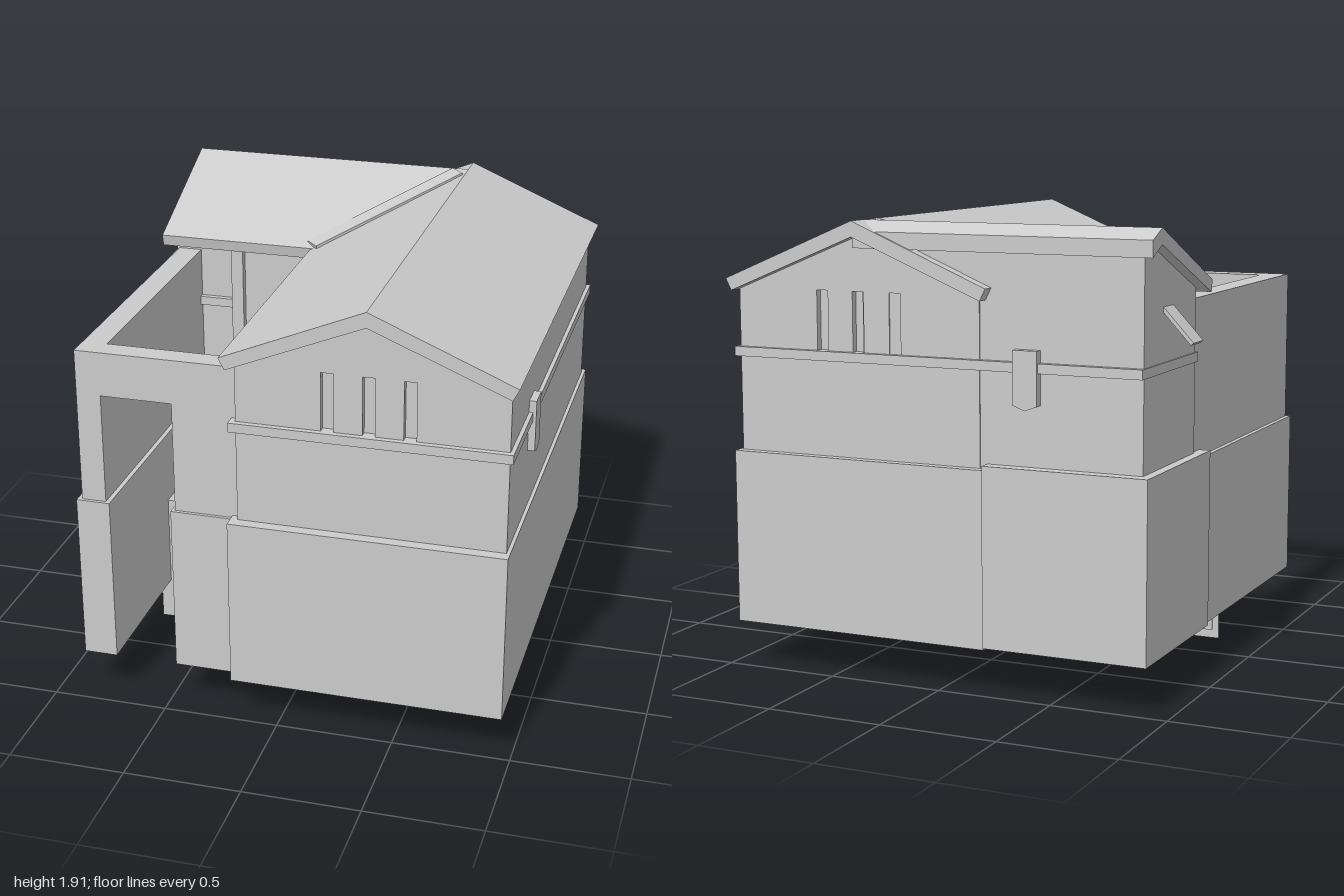
import * as THREE from 'three';

const material = new THREE.MeshStandardMaterial({ color: 0xcccccc, flatShading: true, side: THREE.DoubleSide });
const SLOPE = 0.42, RIDGE_Y = 1.91, RIDGE_X = 0.38, WING_RIDGE_Z = -0.89;

export function createModel() {
  const model = new THREE.Group();
  model.name = 'house';

  const add = (name, geometry, parent = model) => {
    const mesh = new THREE.Mesh(geometry, material);
    mesh.name = name;
    parent.add(mesh);
    return mesh;
  };
  // Box given by its limits on each axis
  const box = (name, x0, x1, y0, y1, z0, z1, parent) => {
    const mesh = add(name, new THREE.BoxGeometry(x1 - x0, y1 - y0, z1 - z0), parent);
    mesh.position.set((x0 + x1) / 2, (y0 + y1) / 2, (z0 + z1) / 2);
    return mesh;
  };
  const shapeOf = (pts) => new THREE.Shape(pts.map(([x, y]) => new THREE.Vector2(x, y)));
  const extrude = (shape, from, to) =>
    new THREE.ExtrudeGeometry(shape, { depth: to - from, bevelEnabled: false }).translate(0, 0, from);
  const part = (name) => {
    const g = new THREE.Group();
    g.name = name;
    model.add(g);
    return g;
  };

  // Roof section: a folded slab with square-cut eaves
  const roofY = (d) => RIDGE_Y - SLOPE * Math.abs(d);
  const roofShape = (a, ridge, b) => shapeOf([
    [a, roofY(a - ridge)], [a + 0.025, roofY(a - ridge) - 0.05], [ridge, RIDGE_Y - 0.065],
    [b - 0.025, roofY(b - ridge) - 0.05], [b, roofY(b - ridge)], [ridge, RIDGE_Y]]);
  // Wall section that reaches up into the roof slab
  const gableShape = (a, ridge, b, y0) => shapeOf([
    [a, y0], [b, y0], [b, roofY(b - ridge) - 0.04], [ridge, RIDGE_Y - 0.04], [a, roofY(a - ridge) - 0.04]]);

  // Hollow lower storey of the main house, open below
  const base = part('mainBase');
  box('baseRightWall', 0.9, 0.96, 0.19, 0.93, -0.99, 1, base);
  box('baseFrontWall', -0.2, 0.9, 0.19, 0.93, 0.93, 1, base);
  box('baseBackWall', -0.2, 0.9, 0.19, 0.93, -0.99, -0.93, base);
  box('baseLeftWall', -0.2, -0.14, 0.19, 0.93, 0.24, 0.93, base);
  box('baseWallOverStairs', -0.2, -0.14, 0.55, 0.93, -0.28, 0.24, base);
  box('baseCeiling', -0.14, 0.9, 0.9, 0.93, -0.93, 0.93, base);

  // Lower storey of the back wing
  const wingBase = part('wingBase');
  box('wingBaseBackWall', -0.91, -0.2, 0.2, 0.95, -1, -0.94, wingBase);
  box('wingBaseLeftWall', -0.91, -0.84, 0.2, 0.95, -0.94, -0.28, wingBase);
  box('wingFloor', -0.84, -0.2, 0.92, 0.95, -0.94, -0.28, wingBase);

  // Upper storey of the main house, with slots cut in both gables
  add('mainUpperWalls', extrude(gableShape(-0.17, RIDGE_X, 0.945, 0.93), -0.92, 0.92));
  for (const side of [1, -1]) {
    const gable = gableShape(-0.17, RIDGE_X, 0.945, 0.93);
    for (const x of [0.21, 0.38, 0.547]) {
      gable.holes.push(new THREE.Path([[-0.026, 1.37], [-0.026, 1.62], [0.026, 1.62], [0.026, 1.37]]
        .map(([dx, y]) => new THREE.Vector2(x + dx, y))));
    }
    add('gableWall', side > 0 ? extrude(gable, 0.92, 0.95) : extrude(gable, -0.95, -0.92));
  }
  add('mainRoof', extrude(roofShape(-0.22, RIDGE_X, 0.98), -1, 1));

  // Back wing, its section drawn along -z and run along x
  add('wingUpperWalls', extrude(gableShape(0.37, -WING_RIDGE_Z, 0.945, 0.93), -0.87, 0.36).rotateY(Math.PI / 2));
  const wingRoof = shapeOf([[0.31, 1.665], [0.32, 1.615], [0.89, 1.845], [0.99, 1.8], [0.99, 1.868], [0.89, 1.91]]);
  add('wingRoof', extrude(wingRoof, -0.92, RIDGE_X).rotateY(Math.PI / 2));

  // Board covering the valley between the roofs
  const from = new THREE.Vector3(-0.21, 1.672, -0.325), to = new THREE.Vector3(0.34, 1.9, -0.85);
  const valley = add('valleyBoard', new THREE.BoxGeometry(0.085, 0.03, from.distanceTo(to)));
  valley.position.copy(from).add(to).multiplyScalar(0.5);
  valley.lookAt(to);

  // String courses
  const bands = part('bands');
  box('mainBandRight', 0.945, 0.962, 1.33, 1.37, -0.972, 0.975, bands);
  box('mainBandLeft', -0.195, -0.17, 1.33, 1.37, -0.37, 0.975, bands);
  box('mainBandFront', -0.195, 0.945, 1.33, 1.37, 0.95, 0.975, bands);
  box('bandBack', -0.875, 0.945, 1.33, 1.37, -0.972, -0.94, bands);
  box('wingBandLeft', -0.875, -0.865, 1.33, 1.37, -0.94, -0.35, bands);
  box('wingBandFront', -0.87, -0.6, 1.33, 1.37, -0.37, -0.345, bands);

  // Blunt-pointed plaques hung over the bands
  const plaqueShape = shapeOf([[-0.053, 1.2], [0, 1.18], [0.053, 1.2], [0.053, 1.42], [-0.053, 1.42]]);
  const plaque = (x, z, turn) => {
    const mesh = add('plaque', extrude(plaqueShape, -0.02, 0.02));
    mesh.position.set(x, 0, z);
    mesh.rotation.y = turn;
  };
  plaque(0.955, 0.5, Math.PI / 2);
  plaque(-0.185, 0.5, Math.PI / 2);
  plaque(-0.38, -0.96, 0);

  // Posts carrying the wing eave
  box('wingPost', -0.6, -0.545, 0.95, 1.645, -0.37, -0.335);
  box('wingEndPost', -0.24, -0.185, 0.95, 1.645, -0.37, -0.335);

  // Propped shutter on the left wall
  const shutter = add('shutter', new THREE.BoxGeometry(0.015, 0.195, 0.11));
  shutter.position.set(-0.925, 1.52, -0.685);
  shutter.rotation.z = -0.75;

  // Courtyard walls with a gateway
  const yard = part('courtyardWalls');
  box('sideFooting', -0.88, -0.735, 0.19, 0.92, -0.3, 0.935, yard);
  box('gateFooting', -0.465, -0.2, 0.19, 0.92, 0.8, 0.935, yard);
  box('sideWall', -0.86, -0.755, 0.92, 1.59, -0.38, 0.92, yard);
  box('gatePier', -0.45, -0.17, 0.92, 1.59, 0.82, 0.92, yard);
  box('gateLintel', -0.755, -0.45, 1.4, 1.59, 0.82, 0.92, yard);

  // Open stairs: thin treads with long hanging risers
  const stairs = part('stairs');
  const edges = [0.24, 0.15, 0.07, -0.03, -0.12, -0.19, -0.28];
  for (let i = 0; i < 6; i++) {
    const y = 0.6 + i * 0.061;
    box('tread', -0.78, -0.18, y - 0.01, y, edges[i + 1], edges[i], stairs);
    box('riser', -0.78, -0.18, y - 0.6, y - 0.01, edges[i] - 0.006, edges[i], stairs);
  }
  box('stairSide', -0.78, -0.77, 0.13, 0.72, -0.2, 0.08, stairs);
  return model;
}
